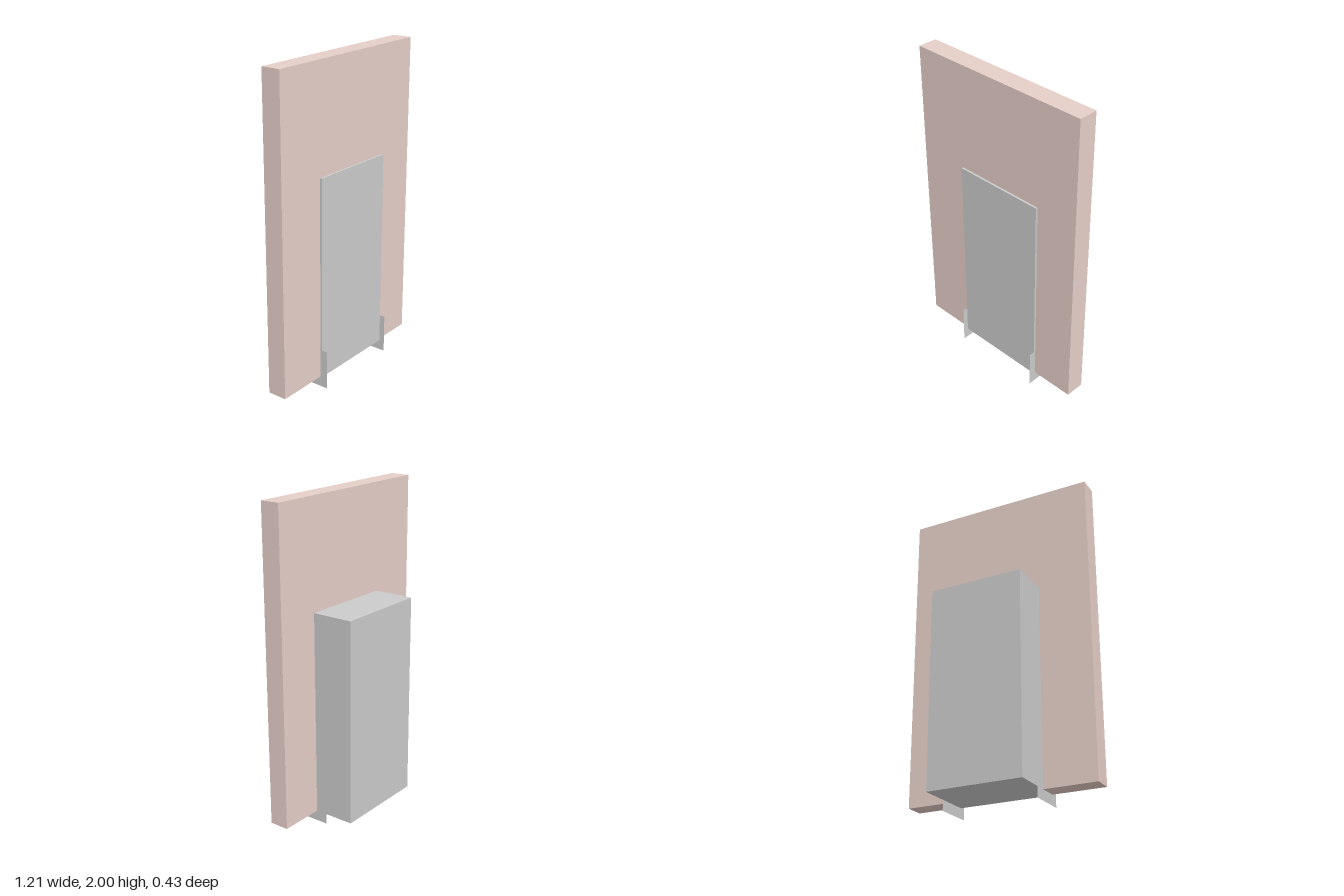
import * as THREE from 'three';

const LEFT = 0.325, RIGHT = -0.275, BASE = 0.065, TOP = 1.33;

const outline = (points) => new THREE.Shape(points.map(([x, y]) => new THREE.Vector2(x, y)));

export function createModel() {
  const group = new THREE.Group();
  const grey = new THREE.MeshStandardMaterial({ color: 0xcccccc });
  const sheet = new THREE.MeshStandardMaterial({ color: 0xcccccc, side: THREE.DoubleSide });
  const wallMaterial = new THREE.MeshStandardMaterial({ color: 0xe6cfc8 });

  const add = (name, geometry, material) => {
    const mesh = new THREE.Mesh(geometry, material);
    mesh.name = name;
    group.add(mesh);
    return mesh;
  };

  // Upright wall panel, notched where the cabinet passes through
  const wall = add('wallPanel', new THREE.ExtrudeGeometry(outline([
    [-0.605, BASE], [RIGHT, BASE], [RIGHT, TOP], [LEFT, TOP],
    [LEFT, BASE], [0.605, BASE], [0.605, 2], [-0.605, 2],
  ]), { depth: 0.122, bevelEnabled: false }), wallMaterial);
  wall.position.z = 0.045;

  // Cabinet, proud of the wall at the front and deep at the back
  const cabinet = add('cabinet', new THREE.BoxGeometry(LEFT - RIGHT, TOP - BASE, 0.395), grey);
  cabinet.position.set((LEFT + RIGHT) / 2, (TOP + BASE) / 2, -0.0175);

  // Thin L-shaped foot brackets, flush with the cabinet sides
  const foot = new THREE.ShapeGeometry(outline([
    [-0.215, 0], [0.03, 0], [0.03, BASE], [-0.18, BASE], [-0.18, 0.245], [-0.215, 0.245],
  ]));
  foot.rotateY(Math.PI / 2);
  for (const [name, x] of [['leftFoot', LEFT], ['rightFoot', RIGHT]]) {
    add(name, foot, sheet).position.x = x;
  }

  return group;
}
